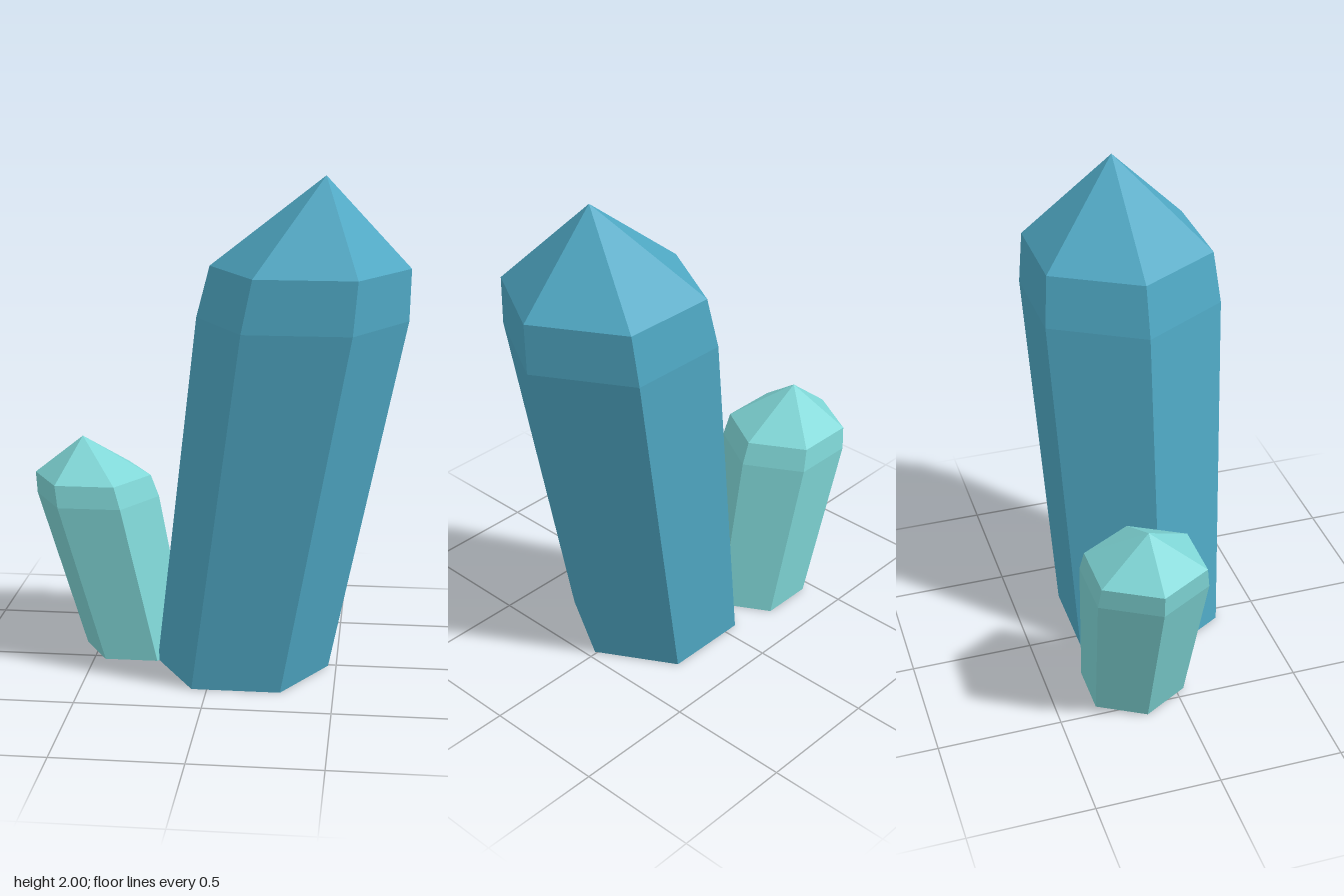
import * as THREE from 'three';

// Leaning six-sided crystal; each ring is [centre x, y, radius]
function crystal(name, rings, z, material) {
  const sides = 6;
  const positions = [];
  const corner = ([x, y, r], i) => {
    const angle = ((i % sides) * Math.PI * 2) / sides;
    return [x + r * Math.cos(angle), y, z + r * Math.sin(angle)];
  };
  for (let k = 0; k < rings.length - 1; k++) {
    const low = rings[k], high = rings[k + 1];
    for (let i = 0; i < sides; i++) {
      const a = corner(low, i), b = corner(high, i);
      const c = corner(low, i + 1), d = corner(high, i + 1);
      // Zero-radius rings are the base centre and the tip
      if (low[2] > 0) positions.push(...a, ...b, ...c);
      if (high[2] > 0) positions.push(...c, ...b, ...d);
    }
  }
  const geometry = new THREE.BufferGeometry();
  geometry.setAttribute('position', new THREE.Float32BufferAttribute(positions, 3));
  geometry.computeVertexNormals(); // unshared corners give flat facets
  const mesh = new THREE.Mesh(geometry, material);
  mesh.name = name;
  return mesh;
}

export function createModel() {
  const blue = new THREE.MeshStandardMaterial({ color: 0x4fa8c4, flatShading: true });
  blue.name = 'crystal blue';
  const aqua = new THREE.MeshStandardMaterial({ color: 0x7fd6d6, flatShading: true });
  aqua.name = 'pale aqua';

  const group = new THREE.Group();
  group.name = 'crystalCluster';

  // Base centre, base, shoulder, top of the bevel, tip
  group.add(crystal('largeCrystal', [
    [0.115, 0, 0], [0.115, 0, 0.352], [0.343, 1.44, 0.417], [0.372, 1.645, 0.393], [0.43, 2, 0],
  ], 0.01, blue));
  group.add(crystal('smallCrystal', [
    [-0.345, 0, 0], [-0.345, 0, 0.216], [-0.507, 0.655, 0.256], [-0.527, 0.745, 0.242], [-0.567, 0.905, 0],
  ], -0.154, aqua));
  return group;
}
